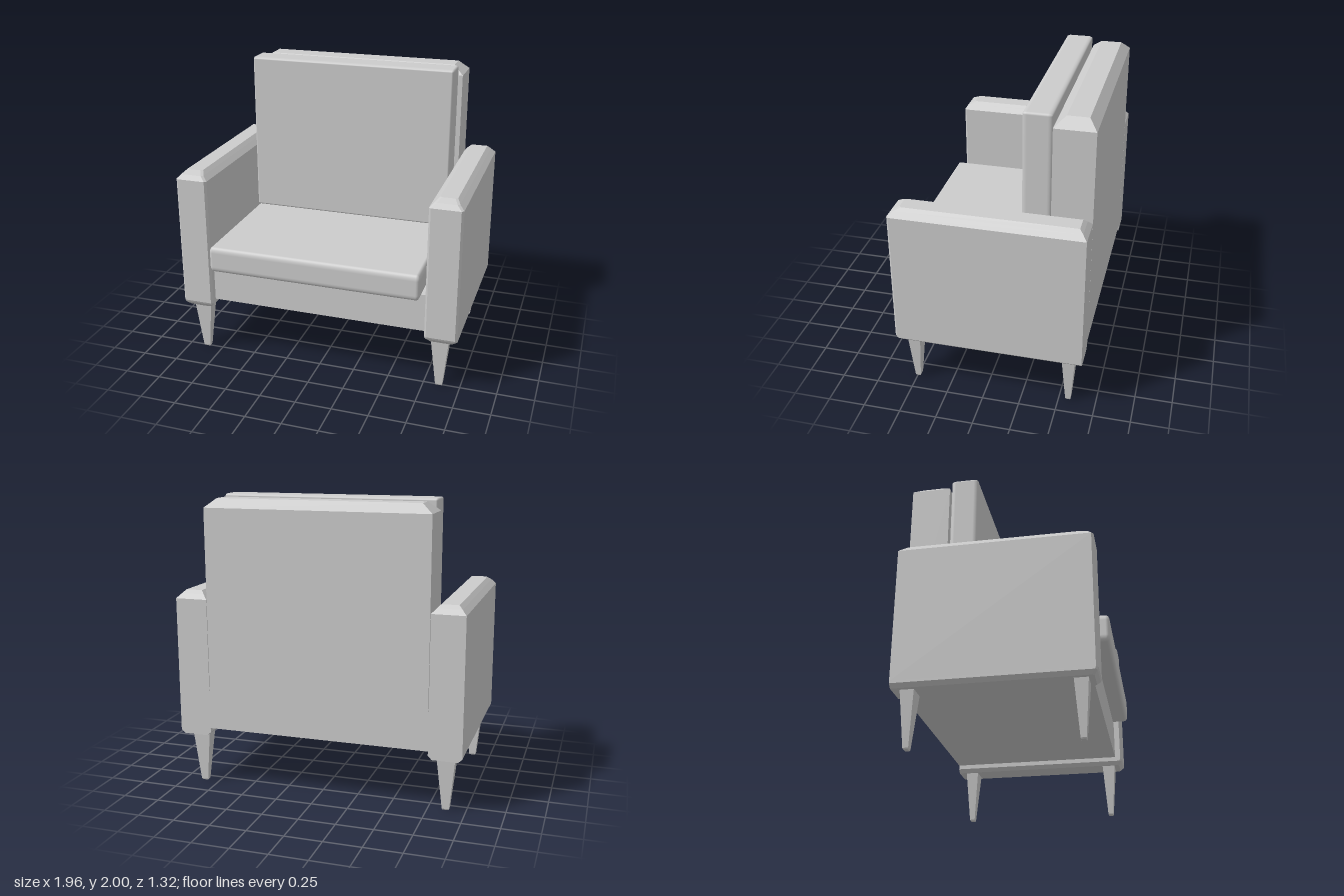
import * as THREE from 'three';
import { RoundedBoxGeometry } from 'three/addons/geometries/RoundedBoxGeometry.js';

// Flat-faced solid from stacked rectangles [y, x0, x1, z0, z1]; c chamfers the front corners
function loft(rings, c = 0) {
  const loops = rings.map(([y, x0, x1, z0, z1]) => [
    [x0, y, z0], [x0, y, z1 - c], [x0 + c, y, z1],
    [x1 - c, y, z1], [x1, y, z1 - c], [x1, y, z0],
  ]);
  const pos = [];
  const tri = (...pts) => pts.forEach((p) => pos.push(...p));
  for (let r = 0; r < loops.length - 1; r++) {
    const a = loops[r], b = loops[r + 1];
    for (let i = 0; i < 6; i++) {
      const j = (i + 1) % 6;
      tri(a[i], a[j], b[j]);
      tri(a[i], b[j], b[i]);
    }
  }
  const low = loops[0], top = loops[loops.length - 1];
  for (let i = 1; i < 5; i++) {
    tri(low[0], low[i + 1], low[i]);
    tri(top[0], top[i], top[i + 1]);
  }
  const g = new THREE.BufferGeometry();
  g.setAttribute('position', new THREE.Float32BufferAttribute(pos, 3));
  g.computeVertexNormals();
  return g;
}

// Soft slab whose rounding is stretched along its thin axis
function cushion(w, h, d, axis, stretch, radius) {
  const size = { x: w, y: h, z: d };
  size[axis] /= stretch;
  const s = { x: 1, y: 1, z: 1 };
  s[axis] = stretch;
  return new RoundedBoxGeometry(size.x, size.y, size.z, 4, radius).scale(s.x, s.y, s.z);
}

export function createModel() {
  const group = new THREE.Group();
  const material = new THREE.MeshStandardMaterial({ color: 0xcccccc });
  const flat = new THREE.MeshStandardMaterial({ color: 0xcccccc, flatShading: true });
  const add = (name, geometry, mat, x = 0, y = 0, z = 0) => {
    const mesh = new THREE.Mesh(geometry, mat);
    mesh.name = name;
    mesh.position.set(x, y, z);
    group.add(mesh);
  };

  // Arms: bevelled along the top, small bevel below, flush at the back
  const arm = loft([
    [0.365, -0.085, 0.085, -0.66, 0.575],
    [0.39, -0.111, 0.111, -0.66, 0.595],
    [0.405, -0.111, 0.111, -0.66, 0.602],
    [1.315, -0.111, 0.111, -0.66, 0.602],
    [1.347, -0.08, 0.08, -0.632, 0.58],
    [1.37, -0.056, 0.056, -0.608, 0.53],
  ], 0.014);
  add('leftArm', arm, flat, 0.871);
  add('rightArm', arm, flat, -0.871);

  // Tapered legs with a tiny bevelled foot
  const leg = loft([
    [0, -0.02, 0.02, -0.014, 0.014],
    [0.008, -0.024, 0.024, -0.018, 0.018],
    [0.37, -0.062, 0.062, -0.045, 0.045],
  ]);
  for (const [side, x] of [['left', 0.857], ['right', -0.868]]) {
    add(side + 'FrontLeg', leg, flat, x, 0, 0.495);
    add(side + 'BackLeg', leg, flat, x, 0, -0.563);
  }

  // Seat base between the arms
  add('seatBase', loft([
    [0.42, -0.775, 0.775, -0.66, 0.55],
    [0.685, -0.775, 0.775, -0.66, 0.55],
  ]), flat);

  // Backrest slab with bevelled top
  add('backrest', loft([
    [0.68, -0.757, 0.757, -0.66, -0.397],
    [1.925, -0.757, 0.757, -0.66, -0.397],
    [1.985, -0.685, 0.685, -0.605, -0.465],
  ]), flat);

  // Cushions
  add('seatCushion', cushion(1.47, 0.182, 1.055, 'y', 1.6, 0.025), material, -0.003, 0.775, 0.1325);
  add('backCushion', cushion(1.467, 1.135, 0.185, 'z', 1.8, 0.016), material, -0.003, 1.4325, -0.2975);

  return group;
}
